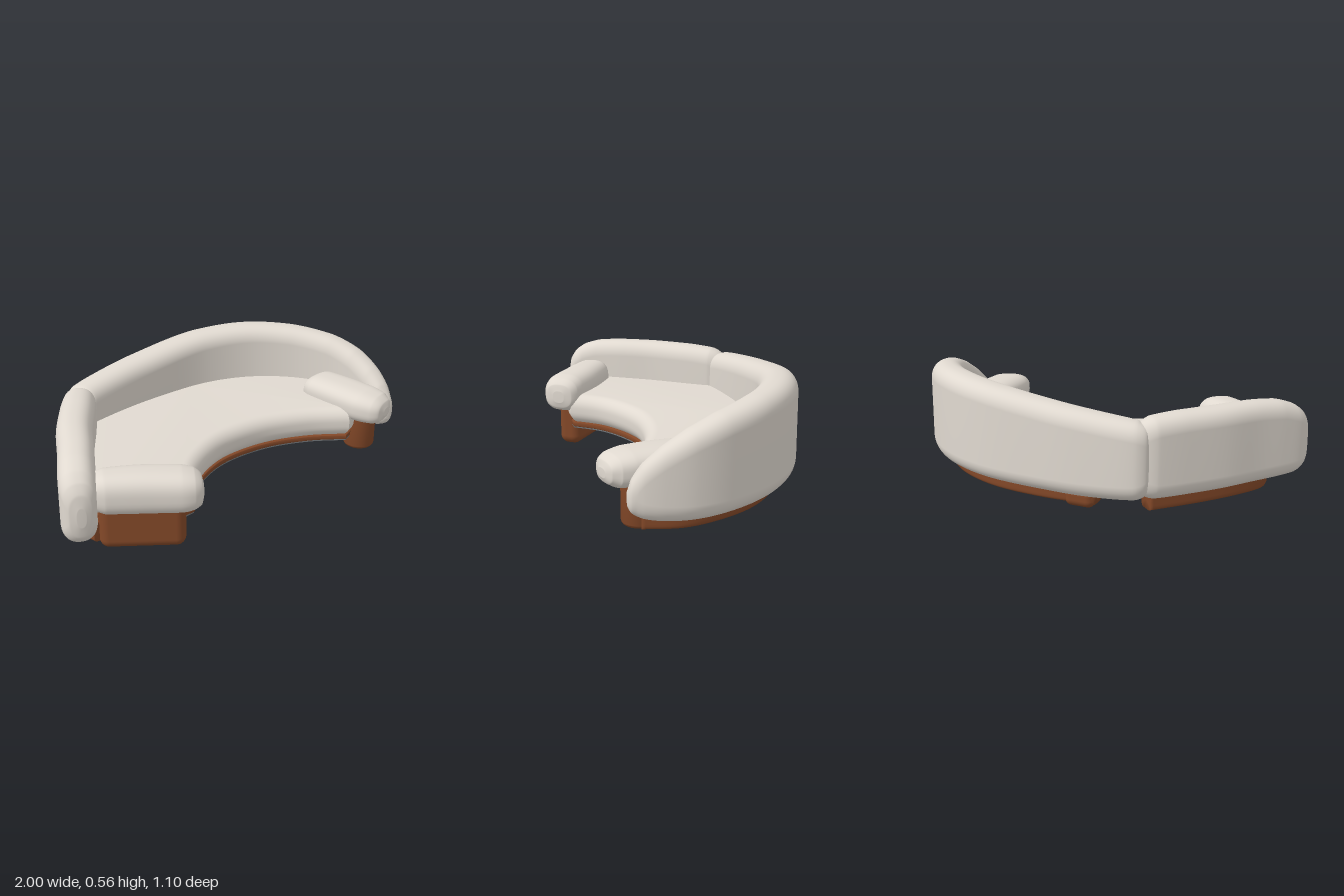
import * as THREE from 'three';
import { RoundedBoxGeometry } from 'three/addons/geometries/RoundedBoxGeometry.js';
import { toCreasedNormals } from 'three/addons/utils/BufferGeometryUtils.js';

const fabric = new THREE.MeshStandardMaterial({ color: 0xe0d9d0 });
fabric.name = 'fabric';
const wood = new THREE.MeshStandardMaterial({ color: 0x834828 });
wood.name = 'wood';
const lining = new THREE.MeshStandardMaterial({ color: 0x707578 });
lining.name = 'lining';

// Upright cushion swept along stations [x, z, halfThickness, bottom, top].
// power < 1 squares the section; cap is the vertical extent of the rounding.
function sweep(stations, power, cap, steps = 96, sides = 40) {
  const path = new THREE.CatmullRomCurve3(stations.map(s => new THREE.Vector3(s[0], 0, s[1])));
  const size = new THREE.CatmullRomCurve3(stations.map(s => new THREE.Vector3(s[2], s[3], s[4])));
  const pos = [], index = [];
  for (let i = 0; i <= steps; i++) {
    const p = path.getPoint(i / steps), t = path.getTangent(i / steps), s = size.getPoint(i / steps);
    const mid = (s.y + s.z) / 2, h = (s.z - s.y) / 2, r = Math.min(cap, h);
    for (let j = 0; j < sides; j++) {
      const a = ((j + 0.5) / sides) * Math.PI * 2, c = Math.cos(a), n = Math.sin(a);
      const u = s.x * Math.sign(c) * Math.abs(c) ** power;
      const v = Math.sign(n) * (h - r + r * Math.abs(n) ** power);
      pos.push(p.x + t.z * u, mid + v, p.z - t.x * u);
    }
  }
  for (let i = 0; i < steps; i++) {
    for (let j = 0; j < sides; j++) {
      const k = (j + 1) % sides, a = i * sides + j, b = i * sides + k;
      index.push(a, b, a + sides, b, b + sides, a + sides);
    }
  }
  // End caps
  for (const [i, end] of [[0, false], [steps, true]]) {
    const p = path.getPoint(i / steps), s = size.getPoint(i / steps), c = pos.length / 3;
    pos.push(p.x, (s.y + s.z) / 2, p.z);
    for (let j = 0; j < sides; j++) {
      const a = i * sides + j, b = i * sides + (j + 1) % sides;
      index.push(c, ...(end ? [a, b] : [b, a]));
    }
  }
  const g = new THREE.BufferGeometry();
  g.setAttribute('position', new THREE.Float32BufferAttribute(pos, 3));
  g.setIndex(index);
  g.computeVertexNormals();
  return g;
}

// Crescent seat plan, drawn in x and -z
function seatShape() {
  const v = ([x, z]) => new THREE.Vector2(x, -z);
  const front = [[-0.4, 0.42], [-0.28, 0.29], [-0.1, 0.205], [0.07, 0.18], [0.28, 0.21], [0.48, 0.3], [0.64, 0.42]];
  const back = [[0.87, 0.3], [0.89, 0.18], [0.86, 0.05], [0.76, -0.13], [0.59, -0.3], [0.35, -0.41], [0, -0.45], [-0.4, -0.42]];
  const side = [[-0.42, -0.41], [-0.5, -0.34], [-0.65, -0.15], [-0.77, 0.03], [-0.81, 0.15]];
  const curve = (pts, n) => new THREE.SplineCurve(pts.map(v)).getPoints(n);
  return new THREE.Shape([
    ...curve(front, 40), v([0.7, 0.4]), ...curve(back, 40), ...curve(side, 20), v([-0.47, 0.42]),
  ]);
}

// Horizontal slab of the seat plan between two heights, with rounded edges
function slab(y0, y1, bevel, inset) {
  const g = new THREE.ExtrudeGeometry(seatShape(), {
    depth: y1 - y0 - 2 * bevel, bevelEnabled: true, bevelThickness: bevel, bevelSize: bevel,
    bevelOffset: -bevel - inset, bevelSegments: 8, curveSegments: 1,
  });
  g.rotateX(-Math.PI / 2).translate(0, y0 + bevel, 0);
  return toCreasedNormals(g, 0.6);
}

// Upright round post with softened rims
function post(radius, y0, y1, soft) {
  const profile = [new THREE.Vector2(0, y0)];
  for (let i = 0; i <= 6; i++) {
    const a = (i / 6) * Math.PI / 2;
    profile.push(new THREE.Vector2(radius - soft + soft * Math.sin(a), y0 + soft - soft * Math.cos(a)));
  }
  profile.push(new THREE.Vector2(radius, y1), new THREE.Vector2(0, y1));
  return toCreasedNormals(new THREE.LatheGeometry(profile, 36), 0.6);
}

export function createModel() {
  const model = new THREE.Group();
  const add = (name, geometry, material, x = 0, y = 0, z = 0, turn = 0) => {
    const mesh = new THREE.Mesh(geometry, material);
    mesh.name = name;
    mesh.position.set(x, y, z);
    mesh.rotation.y = turn;
    model.add(mesh);
  };

  // Seat with its thin wooden edge and dark underside
  add('seat', slab(0.133, 0.288, 0.065, 0), fabric);
  add('seatBoard', slab(0.117, 0.143, 0.006, 0.015), wood);
  add('underside', slab(0.111, 0.118, 0.001, 0.018), lining);

  // Long backrest, rising round the corner and dropping to its front end
  add('longBackrest', sweep([
    [-0.468, -0.405, 0.03, 0.2, 0.37], [-0.452, -0.412, 0.065, 0.13, 0.435], [-0.41, -0.43, 0.085, 0.1, 0.463],
    [-0.2, -0.455, 0.09, 0.09, 0.49], [0, -0.458, 0.092, 0.09, 0.513], [0.35, -0.42, 0.092, 0.09, 0.553],
    [0.6, -0.31, 0.09, 0.09, 0.565], [0.78, -0.14, 0.086, 0.09, 0.555], [0.89, 0.06, 0.08, 0.09, 0.524],
    [0.925, 0.2, 0.075, 0.092, 0.478], [0.927, 0.32, 0.065, 0.1, 0.412], [0.917, 0.4, 0.055, 0.115, 0.345],
    [0.91, 0.445, 0.04, 0.14, 0.28], [0.906, 0.462, 0.015, 0.17, 0.23],
  ], 0.85, 0.09, 140), fabric);

  // Short backrest
  add('shortBackrest', sweep([
    [-0.412, -0.437, 0.03, 0.18, 0.4], [-0.425, -0.423, 0.06, 0.12, 0.455], [-0.46, -0.385, 0.08, 0.1, 0.48],
    [-0.55, -0.28, 0.085, 0.098, 0.49], [-0.68, -0.12, 0.085, 0.098, 0.492], [-0.78, 0.03, 0.083, 0.098, 0.49],
    [-0.865, 0.15, 0.082, 0.1, 0.478], [-0.915, 0.225, 0.08, 0.105, 0.45], [-0.937, 0.268, 0.072, 0.125, 0.415],
    [-0.949, 0.293, 0.052, 0.16, 0.37], [-0.954, 0.303, 0.02, 0.22, 0.31],
  ], 0.85, 0.09), fabric);

  // Pillow-shaped arm cushions
  add('rightArm', sweep([
    [-0.83, 0.18, 0.03, 0.25, 0.33], [-0.815, 0.19, 0.07, 0.215, 0.365], [-0.77, 0.218, 0.095, 0.195, 0.385],
    [-0.62, 0.325, 0.105, 0.19, 0.388], [-0.5, 0.422, 0.105, 0.19, 0.383], [-0.455, 0.456, 0.095, 0.2, 0.37],
    [-0.43, 0.475, 0.07, 0.22, 0.345], [-0.422, 0.481, 0.03, 0.25, 0.31],
  ], 0.75, 0.1), fabric);
  add('leftArm', sweep([
    [0.74, 0.085, 0.06, 0.25, 0.33], [0.74, 0.095, 0.1, 0.22, 0.355], [0.742, 0.13, 0.115, 0.21, 0.368],
    [0.75, 0.28, 0.12, 0.208, 0.372], [0.762, 0.42, 0.117, 0.21, 0.368], [0.775, 0.49, 0.1, 0.215, 0.355],
    [0.785, 0.525, 0.07, 0.235, 0.33], [0.788, 0.537, 0.03, 0.26, 0.3],
  ], 0.75, 0.09), fabric);

  // Wooden arm supports
  add('rightArmSupport', new RoundedBoxGeometry(0.39, 0.24, 0.12, 6, 0.045), wood, -0.627, 0.12, 0.3, -0.68);
  add('leftArmSupport', post(0.08, 0.035, 0.24, 0.025), wood, 0.782, 0, 0.375);

  // Wooden rails under the backrests
  const rail = pts => sweep(pts.map(([x, z]) => [x, z, 0.045, 0.035, 0.13]), 0.35, 1, 60, 32);
  add('longRail', rail([
    [-0.2, -0.405], [0.1, -0.415], [0.35, -0.38], [0.58, -0.27], [0.74, -0.11], [0.83, 0.08], [0.855, 0.22], [0.82, 0.38],
  ]), wood);
  add('shortRail', rail([[-0.43, -0.37], [-0.6, -0.17], [-0.72, 0], [-0.785, 0.13], [-0.78, 0.2]]), wood);

  // Back foot
  add('backFoot', new RoundedBoxGeometry(0.15, 0.09, 0.11, 5, 0.035), wood, -0.125, 0.062, -0.408);

  return model;
}
